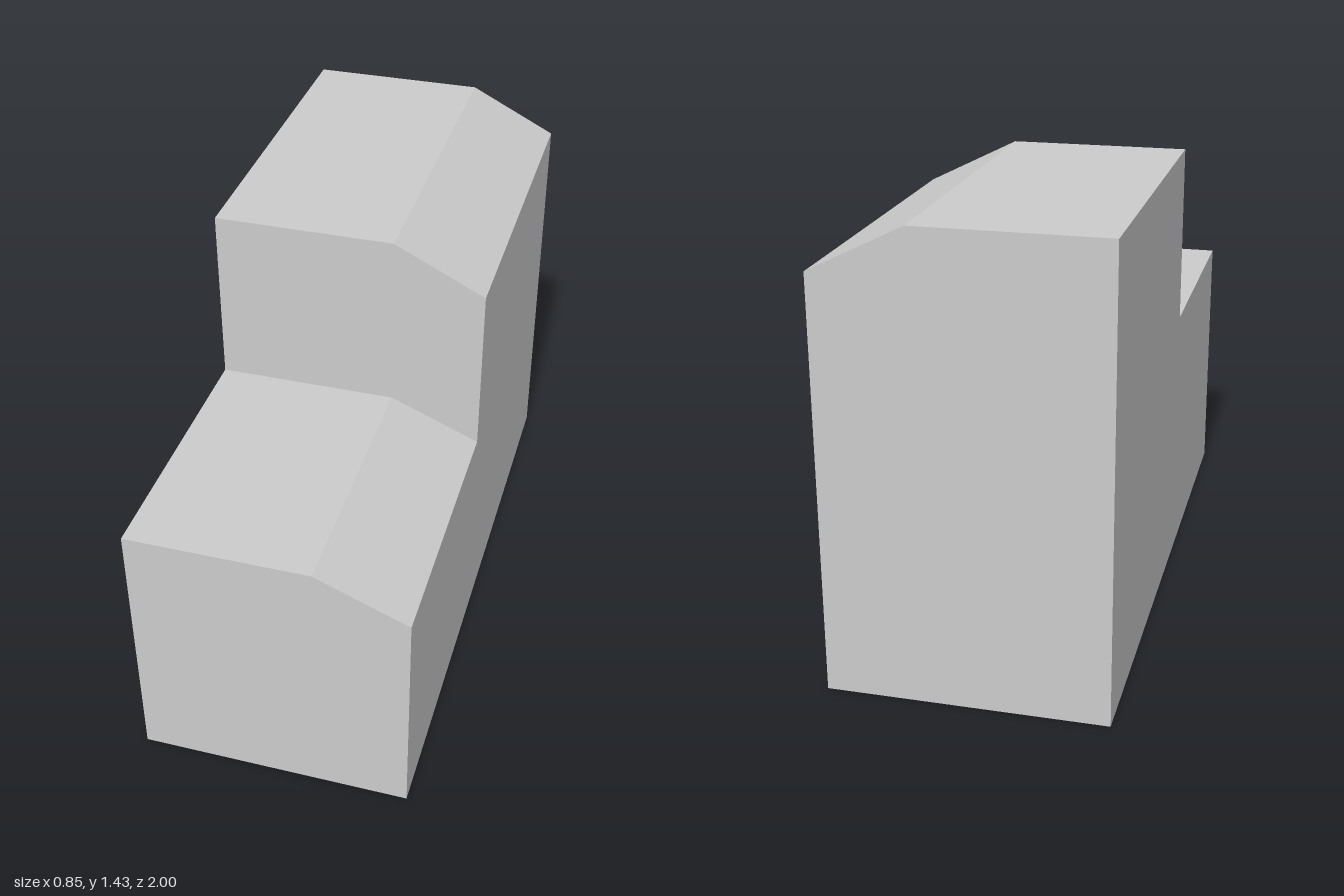
import * as THREE from 'three';

const X = 0.427, RIDGE = 0.14, STEP = 0.14;
const LOW = { top: 0.86, eave: 0.74 };
const HIGH = { top: 1.43, eave: 1.287 };

export function createModel() {
  const group = new THREE.Group();
  group.name = 'steppedShell';
  const material = new THREE.MeshStandardMaterial({ color: 0xcccccc, side: THREE.DoubleSide, flatShading: true });

  const add = (name, geometry) => {
    const mesh = new THREE.Mesh(geometry, material);
    mesh.name = name;
    group.add(mesh);
    return mesh;
  };

  // Flat panel from an outline, turned about y; outline is in the panel's own frame
  const panel = (name, points, turn, x, z) => {
    const shape = new THREE.Shape(points.map(([a, b]) => new THREE.Vector2(a, b)));
    const mesh = add(name, new THREE.ShapeGeometry(shape));
    mesh.rotation.y = turn;
    mesh.position.set(x, 0, z);
  };

  // Roof line from left to right across the width: flat, then sloping down
  const roofLine = ({ top, eave }) => [[-X, top], [RIDGE, top], [X, eave]];

  // Flat and sloping roof strips swept along z
  const roof = (name, level, back, front) => {
    const line = roofLine(level), pos = [];
    for (let i = 0; i < line.length - 1; i++) {
      const [ax, ay] = line[i], [bx, by] = line[i + 1];
      pos.push(ax, ay, front, bx, by, front, bx, by, back);
      pos.push(ax, ay, front, bx, by, back, ax, ay, back);
    }
    const g = new THREE.BufferGeometry();
    g.setAttribute('position', new THREE.Float32BufferAttribute(pos, 3));
    g.computeVertexNormals();
    add(name, g);
  };

  // Stepped side wall outline along z
  const side = (low, high) => [[-1, 0], [1, 0], [1, low], [STEP, low], [STEP, high], [-1, high]];
  const mirror = (points) => points.map(([a, b]) => [-a, b]);

  roof('lowerRoof', LOW, STEP, 1);
  roof('upperRoof', HIGH, -1, STEP);

  // End walls and the riser between the two roofs; the underside stays open
  panel('frontWall', [[X, 0], [-X, 0], ...roofLine(LOW)], 0, 0, 1);
  panel('riser', [...roofLine(LOW), ...roofLine(HIGH).reverse()], 0, 0, STEP);
  panel('backWall', mirror([[X, 0], [-X, 0], ...roofLine(HIGH)]), Math.PI, 0, -1);

  // Side walls
  panel('leftWall', mirror(side(LOW.eave, HIGH.eave)), Math.PI / 2, X, 0);
  panel('rightWall', side(LOW.top, HIGH.top), -Math.PI / 2, -X, 0);

  return group;
}
